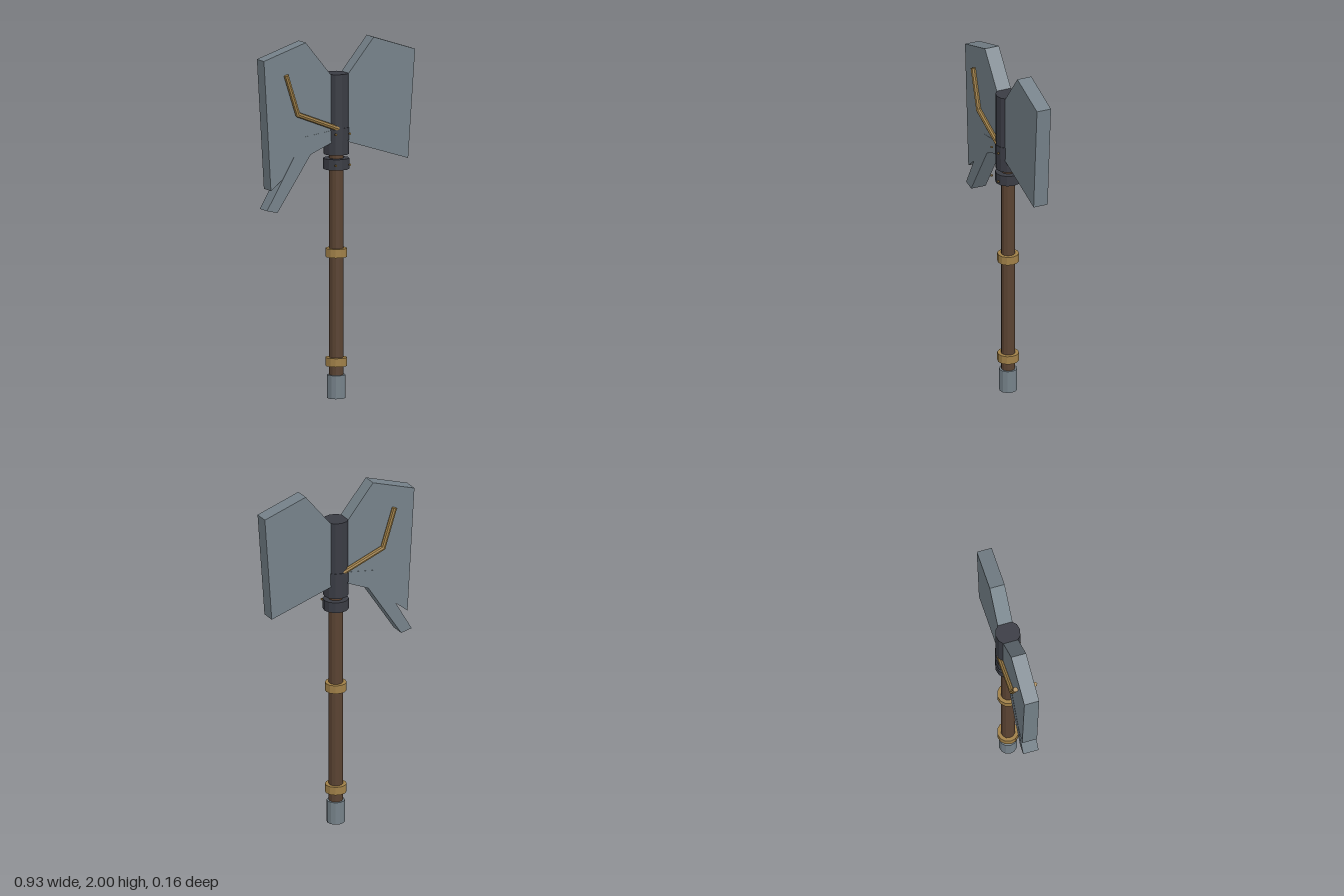
import * as THREE from 'three';

const mat = (color) => new THREE.MeshStandardMaterial({ color, flatShading: true });
const steel = mat(0x76828a), iron = mat(0x3a3c44), wood = mat(0x5a4332), brass = mat(0xa08048);

export function createModel() {
  const axe = new THREE.Group();
  const add = (name, geometry, material) => {
    const mesh = new THREE.Mesh(geometry, material);
    mesh.name = name;
    axe.add(mesh);
    return mesh;
  };
  // upright cylinder between two heights
  const post = (name, r, y0, y1, material) =>
    add(name, new THREE.CylinderGeometry(r, r, y1 - y0, 12), material).position.y = (y0 + y1) / 2;
  // flat plate centred on z = 0
  const plate = (name, points, depth) => {
    const shape = new THREE.Shape(points.map(([x, y]) => new THREE.Vector2(x, y)));
    const g = new THREE.ExtrudeGeometry(shape, { depth, bevelEnabled: false });
    add(name, g.translate(0, 0, -depth / 2), steel);
  };
  // round rod between two points
  const rod = (name, a, b, r) => {
    const dir = b.clone().sub(a);
    const mesh = add(name, new THREE.CylinderGeometry(r, r, dir.length(), 8), brass);
    mesh.position.copy(a).add(b).multiplyScalar(0.5);
    mesh.quaternion.setFromUnitVectors(new THREE.Vector3(0, 1, 0), dir.normalize());
  };

  // shaft and its fittings
  post('pommel', 0.05, 0, 0.13, steel);
  post('handle', 0.039, 0.1, 1.4, wood);
  post('lowerGripRing', 0.06, 0.18, 0.227, brass);
  post('upperGripRing', 0.06, 0.787, 0.835, brass);
  post('collar', 0.072, 1.277, 1.337, iron);
  post('headSocket', 0.07, 1.36, 1.81, iron);
  post('socketBand', 0.073, 1.44, 1.51, iron);

  // blades and the hooked prong
  plate('leftBlade', [[0, 1.745], [0.055, 1.81], [0.21, 2], [0.465, 1.915], [0.422, 1.31], [0, 1.445]], 0.085);
  plate('rightBlade', [[0, 1.745], [0, 1.445], [-0.18, 1.39], [-0.425, 1.19],
    [-0.468, 1.915], [-0.21, 2], [-0.055, 1.81]], 0.085);
  plate('prong', [[-0.45, 1.08], [-0.385, 1.065], [-0.18, 1.375], [-0.04, 1.435],
    [-0.04, 1.5], [-0.22, 1.475]], 0.088);

  // bent brass inlay on both faces
  for (const z of [-0.055, 0.055]) {
    const [tip, bend, root] = [[-0.337, 1.828], [-0.265, 1.605], [-0.01, 1.505]]
      .map(([x, y]) => new THREE.Vector3(x, y, z));
    rod('inlayUpper', tip, bend, 0.0145);
    rod('inlayLower', bend, root, 0.0145);
    const joint = add('inlayJoint', new THREE.SphereGeometry(0.0145, 8, 6), brass);
    joint.position.copy(bend);
  }

  // rivets
  for (const x of [-0.043, 0.043]) for (const y of [1.307, 1.48]) {
    rod('rivet', new THREE.Vector3(x, y, 0.075), new THREE.Vector3(x, y, 0.085), 0.006);
  }

  axe.position.z = -0.0075;
  const model = new THREE.Group();
  model.name = 'battleAxe';
  model.add(axe);
  return model;
}
